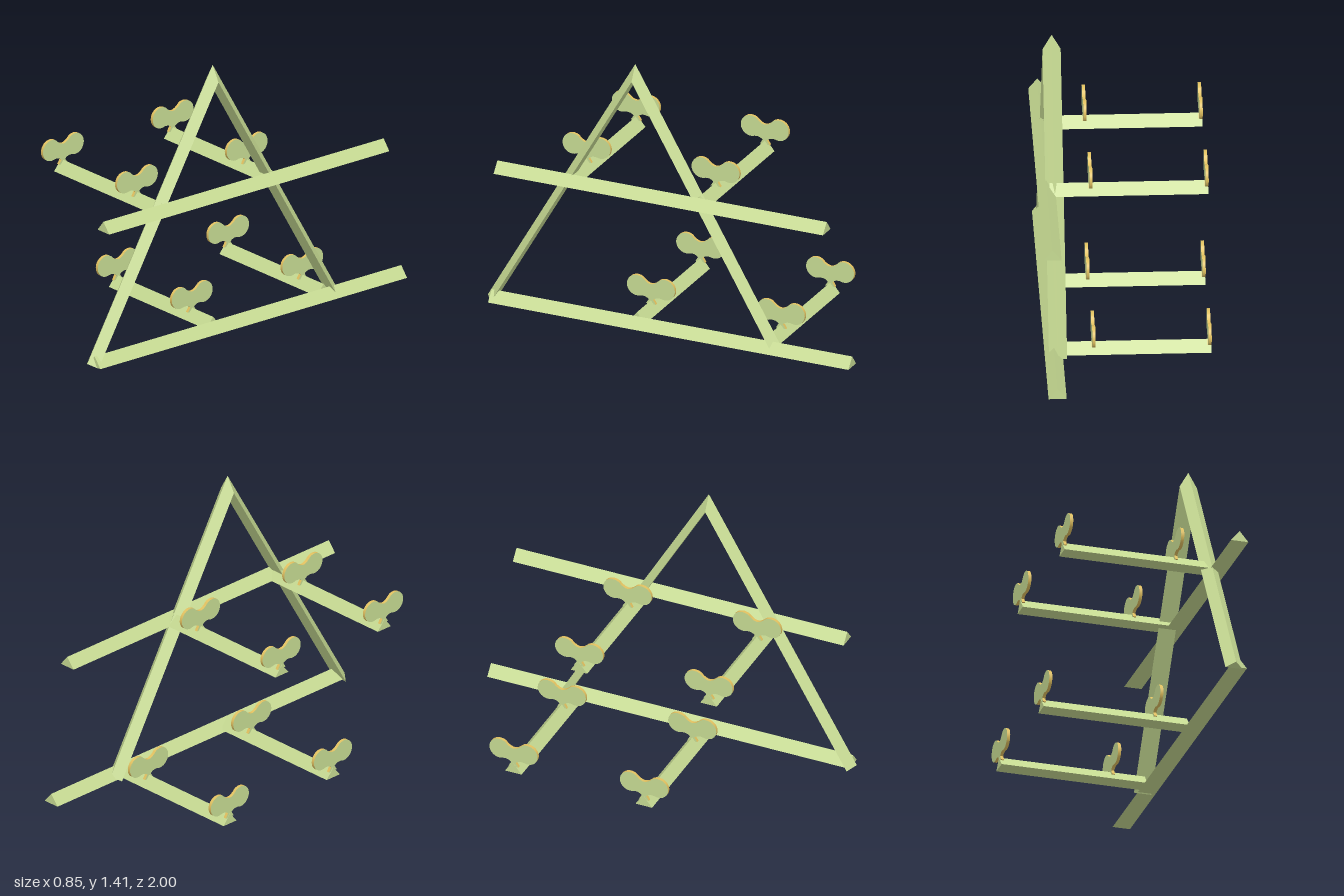
import * as THREE from 'three';
import { ConvexGeometry } from 'three/addons/geometries/ConvexGeometry.js';

const wood = new THREE.MeshStandardMaterial({ color: 0xc6da92, flatShading: true });
const plateFace = new THREE.MeshStandardMaterial({ color: 0xc6da92 });
const plateEdge = new THREE.MeshStandardMaterial({ color: 0xe0c060 });

const HALF = 0.045;   // half the width of every triangular bar
const HEIGHT = 0.055; // base to ridge of rails and arms

// Triangular bar between two three-cornered ends
function bar(name, endA, endB) {
  const points = [...endA, ...endB].map((p) => new THREE.Vector3(...p));
  const mesh = new THREE.Mesh(new ConvexGeometry(points), wood);
  mesh.name = name;
  return mesh;
}

// Rail along z, ridge up
function rail(name, x, y, zFront, zBack) {
  const end = (z) => [[x - HALF, y, z], [x + HALF, y, z], [x, y + HEIGHT, z]];
  return bar(name, end(zFront), end(zBack));
}

// Arm along x, ridge up
function arm(name, y, z, xInner) {
  const end = (x) => [[x, y, z - HALF], [x, y, z + HALF], [x, y + HEIGHT, z]];
  return bar(name, end(-0.425), end(xInner));
}

// Sloping leg with its ridge outward, mitred at the peak of the frame
function leg(name, side) {
  const x = 0.335, peakZ = 0.195;
  const end = (baseZ, baseY, ridgeZ, ridgeY) => [
    [x - HALF, baseY, peakZ + side * baseZ],
    [x + HALF, baseY, peakZ + side * baseZ],
    [x, ridgeY, peakZ + side * ridgeZ],
  ];
  return bar(name, end(0.77, 0, 0.805, 0.02), end(0, 1.33, 0, 1.41));
}

// Two-lobed plate on a small saddle; the origin is on the arm's ridge
function plateGeometry() {
  const r = 0.055, cx = 0.076, cy = 0.068;
  const rad = THREE.MathUtils.degToRad;
  const at = (sign, deg) => [sign * (cx + r * Math.cos(rad(deg))), cy + r * Math.sin(rad(deg))];
  const s = new THREE.Shape();
  s.moveTo(0, 0.087);
  s.quadraticCurveTo(0.022, 0.088, ...at(1, 125));
  s.absarc(cx, cy, r, rad(125), rad(-110), true);
  s.quadraticCurveTo(0.03, 0.022, 0.012, 0.004);
  s.lineTo(0.027, -0.02);
  s.lineTo(-0.027, -0.02);
  s.lineTo(-0.012, 0.004);
  s.quadraticCurveTo(-0.03, 0.022, ...at(-1, -110));
  s.absarc(-cx, cy, r, rad(-70), rad(-305), true);
  s.quadraticCurveTo(-0.022, 0.088, 0, 0.087);
  const depth = 0.016;
  return new THREE.ExtrudeGeometry(s, { depth, bevelEnabled: false, curveSegments: 20 })
    .translate(0, 0, -depth / 2)
    .rotateY(Math.PI / 2);
}

export function createModel() {
  const model = new THREE.Group();
  model.name = 'rack';

  // A-frame
  model.add(leg('frontLeg', 1), leg('backLeg', -1));

  // Cross rails
  model.add(rail('lowerRail', 0.355, 0.005, 0.97, -1));
  model.add(rail('upperRail', 0.375, 0.715, 0.93, -0.87));

  // Arms, each with two plates
  const plate = plateGeometry();
  const arms = [
    ['upperFrontArm', 0.715, 0.54, 0.36],
    ['upperBackArm', 0.715, -0.165, 0.36],
    ['lowerFrontArm', 0.015, 0.188, 0.33],
    ['lowerBackArm', 0.015, -0.522, 0.33],
  ];
  for (const [name, y, z, xInner] of arms) {
    model.add(arm(name, y, z, xInner));
    for (const x of [-0.415, 0.16]) {
      const mesh = new THREE.Mesh(plate, [plateFace, plateEdge]);
      mesh.name = 'armPlate';
      mesh.position.set(x, y + HEIGHT, z);
      model.add(mesh);
    }
  }
  return model;
}
